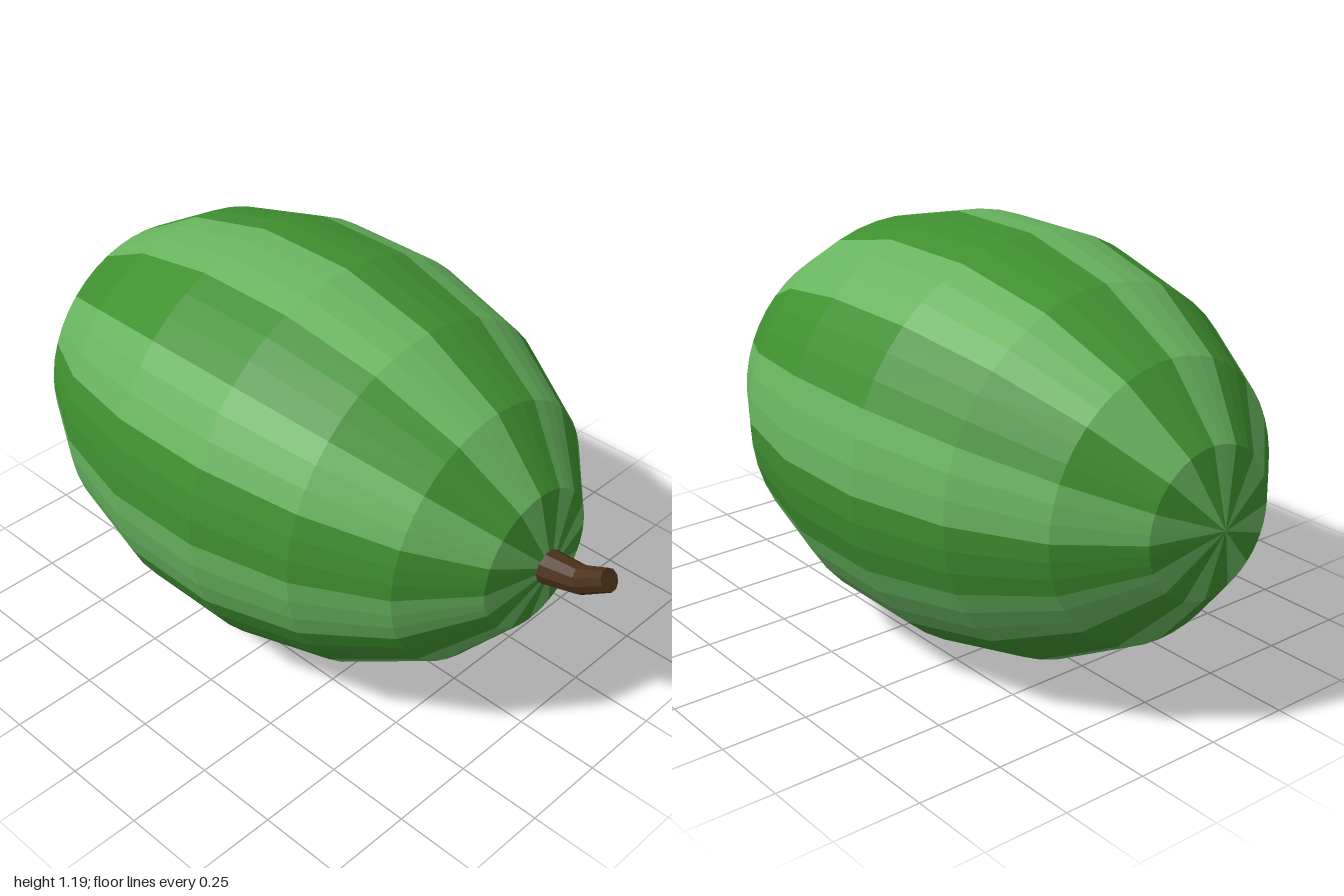
import * as THREE from 'three';
import { mergeGeometries } from 'three/addons/utils/BufferGeometryUtils.js';

const SEGMENTS = 16;
const STEP = (Math.PI * 2) / SEGMENTS;

const flat = (color) => new THREE.MeshStandardMaterial({ color, flatShading: true });

// Every second lengthwise wedge of the faceted rind, poles along x
function stripes(name, first, color) {
  const wedges = [];
  for (let i = first; i < SEGMENTS; i += 2) {
    wedges.push(new THREE.SphereGeometry(1, 1, 9, i * STEP, STEP));
  }
  const geo = mergeGeometries(wedges);
  geo.rotateZ(-Math.PI / 2).scale(0.9, 0.602, 0.602).translate(-0.1, 0.597, 0);
  const mesh = new THREE.Mesh(geo, flat(color));
  mesh.name = name;
  return mesh;
}

// Tapered stem: a cylinder whose rings follow a bent path
function stem() {
  const rings = [ // x, y, radius, tilt
    [0.74, 0.598, 0.051, 0],
    [0.8, 0.6, 0.049, 0.06],
    [0.895, 0.616, 0.04, 0.33],
    [0.977, 0.664, 0.032, 0.56],
  ];
  const geo = new THREE.CylinderGeometry(1, 1, 3, 10, 3);
  const pos = geo.attributes.position;
  for (let i = 0; i < pos.count; i++) {
    const [x, y, r, tilt] = rings[Math.round(pos.getY(i) + 1.5)];
    const side = pos.getX(i) * r;
    pos.setXYZ(i, x + side * Math.sin(tilt), y - side * Math.cos(tilt), pos.getZ(i) * r);
  }
  geo.computeVertexNormals();
  const mesh = new THREE.Mesh(geo, flat(0x4a3018));
  mesh.name = 'stem';
  return mesh;
}

export function createModel() {
  const model = new THREE.Group();
  model.name = 'watermelon';
  model.add(
    stripes('lightStripes', 0, 0x68b45f),
    stripes('darkStripes', 1, 0x3f9030),
    stem(),
  );
  return model;
}
